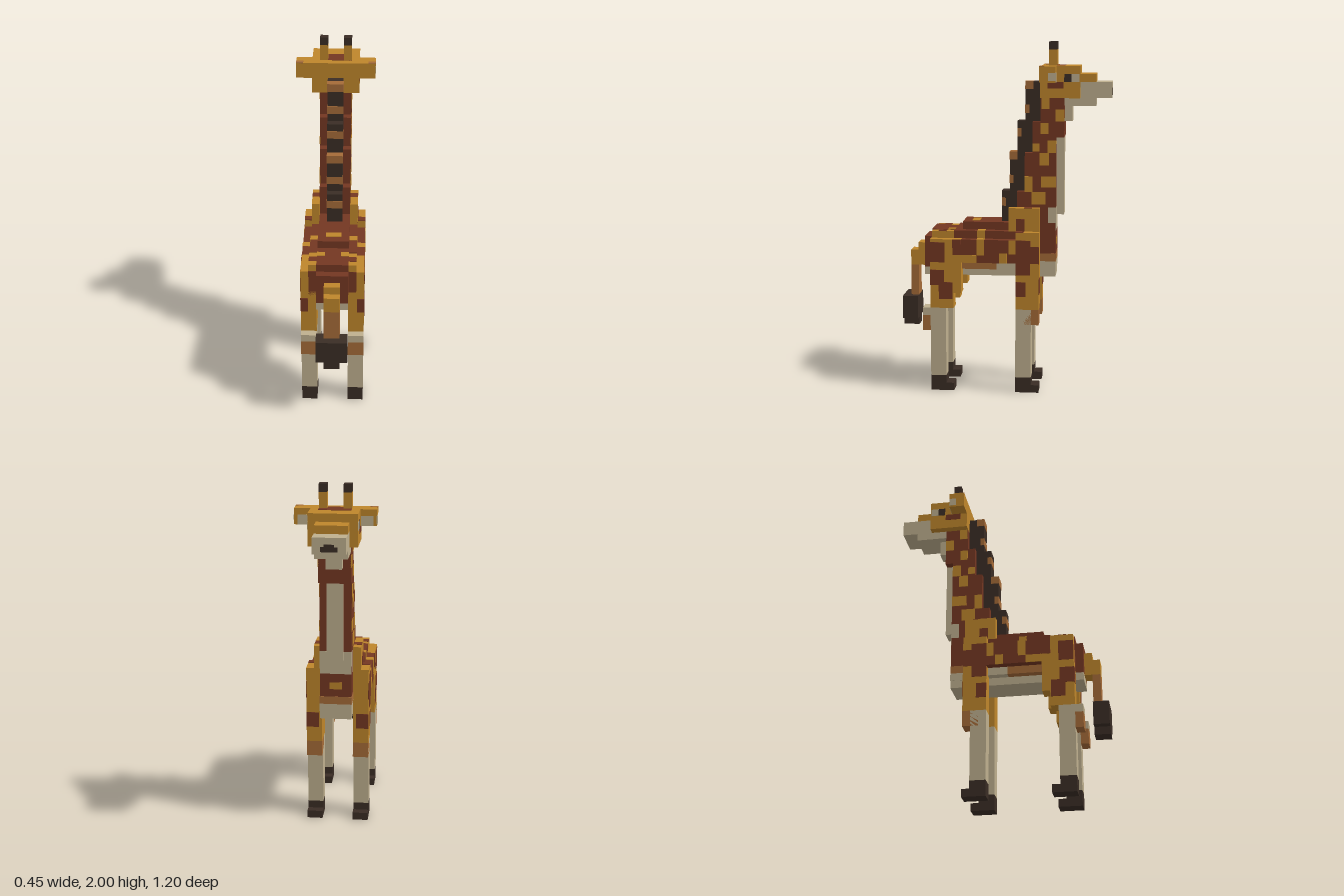
import * as THREE from 'three';

const U = 2 / 45; // one block unit
const mat = (name, hex) => {
  const m = new THREE.MeshStandardMaterial({ color: hex });
  m.name = name;
  return m;
};

export function createModel() {
  const ochre = mat('ochre', 0xbf862b), brown = mat('russet brown', 0x743722);
  const cream = mat('cream', 0xbfb08f), dark = mat('dark brown', 0x3a2d25);
  const tan = mat('tan', 0xa56b38);
  const root = new THREE.Group();
  root.name = 'giraffe';
  let part;
  const group = (name) => {
    part = new THREE.Group();
    part.name = name;
    root.add(part);
  };

  // Box from block coordinates: x, y and z ranges
  const box = (name, m, x0, x1, y0, y1, z0, z1) => {
    const mesh = new THREE.Mesh(new THREE.BoxGeometry((x1 - x0) * U, (y1 - y0) * U, (z1 - z0) * U), m);
    mesh.position.set((x0 + x1) * U / 2, (y0 + y1) * U / 2, (z0 + z1) * U / 2);
    mesh.name = name;
    part.add(mesh);
  };
  // Box on both sides
  const pair = (name, m, x0, x1, ...r) => {
    box(name + 'Left', m, x0, x1, ...r);
    box(name + 'Right', m, -x1, -x0, ...r);
  };
  // Thin coat patches [y0, y1, z0, z1] on both flanks at width x
  const patches = (m, x, list) => list.forEach((r) => pair('patch', m, x - 0.05, x + 0.05, ...r));
  // Thin coat patches [x0, x1, z0, z1] on upward faces at height y
  const topPatches = (m, y, list) => list.forEach(([a, b, c, d]) => pair('topPatch', m, a, b, y - 0.05, y + 0.05, c, d));

  // Body
  group('body');
  box('barrel', brown, -4, 4, 17, 20, -1.5, 5.5);
  box('back', brown, -3, 3, 20, 21, -1.5, 6.5);
  box('ridge', brown, -2, 2, 21, 22, -1.5, 5.5);
  box('chest', brown, -2, 2, 16, 22, -6.5, -1.5);
  box('rump', brown, -3, 3, 16, 20, 5.5, 9.5);
  box('rumpTop', brown, -2, 2, 20, 21, 6.5, 9.5);
  box('rumpBack', brown, -2, 2, 16, 20, 9.5, 10.5);
  box('belly', cream, -2, 2, 15, 16, -6.5, 10.5);
  box('flankLower', tan, -3, 3, 16, 17, 1, 5.5);
  box('flankLowerFront', cream, -3, 3, 16, 17, -1.5, 1);
  pair('hip', ochre, 3, 4, 17, 20, 5.5, 9.5);
  pair('hipTop', ochre, 2, 3, 20, 20.9, 6.5, 9.4);
  patches(brown, 4, [[17, 19.6, 7.6, 9.5], [18, 20, 5.5, 6.6]]);
  patches(ochre, 4, [[18, 20, 2.5, 3.5], [17, 18, 3.5, 5.5], [18.2, 20, -1.5, -0.6], [17, 18.3, -0.4, 0.6]]);
  patches(ochre, 3, [[20, 21, 2.5, 3.5]]);
  topPatches(ochre, 20, [[3, 4, 2.5, 3.5]]);
  topPatches(ochre, 21, [[2, 3, 2.5, 3.5]]);
  topPatches(ochre, 22, [[0, 1, 3.4, 4.4]]);
  topPatches(brown, 20.9, [[2, 3, 7.5, 8.5]]);
  topPatches(ochre, 21, [[1, 2, 6.5, 7.4]]);
  // Chest markings
  box('chestBand', tan, -2.04, 2.04, 17, 18, -6.54, -4.5);
  box('chestBase', cream, -2.04, 2.04, 16, 17, -6.54, -4.5);
  box('chestSpot', ochre, -0.8, 0.8, 19, 19.9, -6.54, -6.4);

  // Shoulders and front legs
  group('frontLegs');
  pair('shoulder', ochre, 2, 3, 21, 24, -4.5, -0.5);
  patches(brown, 3, [[21, 22.6, -2.6, -1.5]]);
  topPatches(brown, 24, [[2, 3, -3.5, -2.5]]);
  pair('upperLeg', ochre, 2, 4, 11, 21, -4.5, -1.5);
  pair('knee', tan, 2, 4, 9, 11, -4.5, -2.5);
  pair('shin', cream, 2, 4, 2, 11, -3.5, -1.5);
  patches(brown, 4, [[15.5, 20, -3.4, -1.5], [17, 19.2, -4.5, -3.4], [12.7, 14.6, -2.8, -1.5]]);
  topPatches(brown, 21, [[3, 4, -2.5, -1.5]]);
  pair('legFrontPatch', brown, 2.4, 4, 13, 15, -4.55, -4.45);
  pair('hoof', dark, 2, 4, 0, 2, -3.5, -1.5);
  pair('toe', dark, 2, 4, 0, 1, -4.5, -3.5);

  // Hind legs
  group('hindLegs');
  pair('thigh', ochre, 2, 4, 11, 17, 6.5, 9.5);
  pair('thighFront', ochre, 2, 4, 13, 17, 5.5, 6.5);
  patches(brown, 4, [[14, 16, 7.7, 9.5], [12.2, 14.4, 6.6, 8.4]]);
  pair('thighBackPatch', brown, 3.1, 4, 14, 16, 9.45, 9.55);
  pair('shin', cream, 2, 4, 2, 11, 7.5, 9.5);
  pair('hockTop', cream, 2, 4, 10, 11, 9.5, 10.5);
  pair('hock', tan, 2, 4, 8, 10, 9.5, 10.5);
  pair('hoof', dark, 2, 4, 0, 2, 7.5, 9.5);
  pair('toe', dark, 2, 4, 0, 1, 6.5, 7.5);

  // Tail
  group('tail');
  box('tailBase', ochre, -1, 1, 16, 19, 10.5, 11.5);
  box('tailUpper', ochre, -1, 1, 16, 18, 11.5, 12.5);
  box('tailLower', tan, -1, 1, 12, 16, 11.5, 12.5);
  box('tuft', dark, -2, 2, 9, 12, 11.5, 13.5);
  box('tuftTip', dark, -1, 1, 8, 9, 11.5, 13.5);

  // Neck, stepping forward as it rises
  group('neck');
  [[22, 26, -5.5, -1.5], [26, 31, -6.5, -2.5], [31, 35, -6.5, -3.5], [35, 38, -7.5, -4.5]]
    .forEach((r, i) => box('neck' + i, brown, -2, 2, ...r));
  box('neckFront', brown, -2, 2, 24, 26, -6.5, -5.5);
  box('neckTop', brown, -2, 2, 33, 35, -7.5, -6.5);
  box('throatBase', cream, -2, 2, 21.05, 24, -6.53, -5.5);
  box('throatStripe', cream, -1, 1, 23, 33, -7.5, -6.5);
  patches(ochre, 2, [[22, 24, -3.4, -1.5], [24.4, 26, -5.2, -3.4], [26, 28, -3.5, -2.5], [26.6, 28, -6.5, -4.6],
    [29.4, 31, -5.6, -4.4], [31, 32.6, -6.5, -5.4], [31.2, 32.2, -4.4, -3.5],
    [33.4, 34.8, -5.5, -4.5], [35, 36.5, -7.5, -6.4], [36.6, 38, -5.6, -4.6]]);

  // Mane with a tan band every third row
  group('mane');
  const steps = [[22, 26, 0.5], [26, 31, -0.5], [31, 35, -1.5], [35, 40, -2.5]];
  steps.forEach(([y0, y1, z], i) => {
    box('mane' + i, dark, -1, 1, y0, y1, z - 2, z);
    for (let y = 24; y < 40; y += 3) {
      if (y >= y0 && y < y1) box('maneBand', tan, -1.04, 1.04, y, y + 1.04, z - (y + 1 === y1 ? 1 : 0.5), z + 0.04);
    }
  });

  // Head
  group('head');
  box('skull', ochre, -3, 3, 38, 42, -9.5, -4.5);
  box('snoutTop', ochre, -2, 2, 40, 41, -11.5, -9.5);
  box('muzzle', cream, -2, 2, 38, 40, -13.5, -9.5);
  box('jaw', cream, -2, 2, 37, 38, -11.5, -7.5);
  box('throat', cream, -1, 1, 35, 37, -8.5, -7.5);
  box('nose', dark, -1, 1, 38.3, 38.9, -13.55, -13.45);
  box('noseTop', dark, -0.6, 0.6, 38.9, 39.2, -13.55, -13.45);
  box('forehead', brown, -2, 2, 41.95, 42.05, -7.5, -5.5);
  pair('eye', dark, 2.95, 3.05, 40, 41, -8.4, -7.5);
  pair('eyeWhite', cream, 2.95, 3.05, 40, 41, -9.4, -8.4);
  pair('cheek', brown, 2.95, 3.05, 39.2, 40, -7.4, -5.4);
  pair('ear', ochre, 3, 5, 40, 42, -6.5, -4.5);
  pair('innerEar', cream, 3.1, 4.6, 40, 41.2, -6.55, -6.45);
  pair('earEdge', cream, 4.95, 5.05, 40.2, 41.2, -6.5, -5.6);
  pair('earTip', tan, 4.1, 5, 41.95, 42.05, -5.1, -4.5);
  pair('horn', ochre, 1, 2, 42, 44, -6.5, -5.5);
  pair('hornTip', dark, 1, 2, 44, 45, -6.5, -5.5);

  return root;
}
